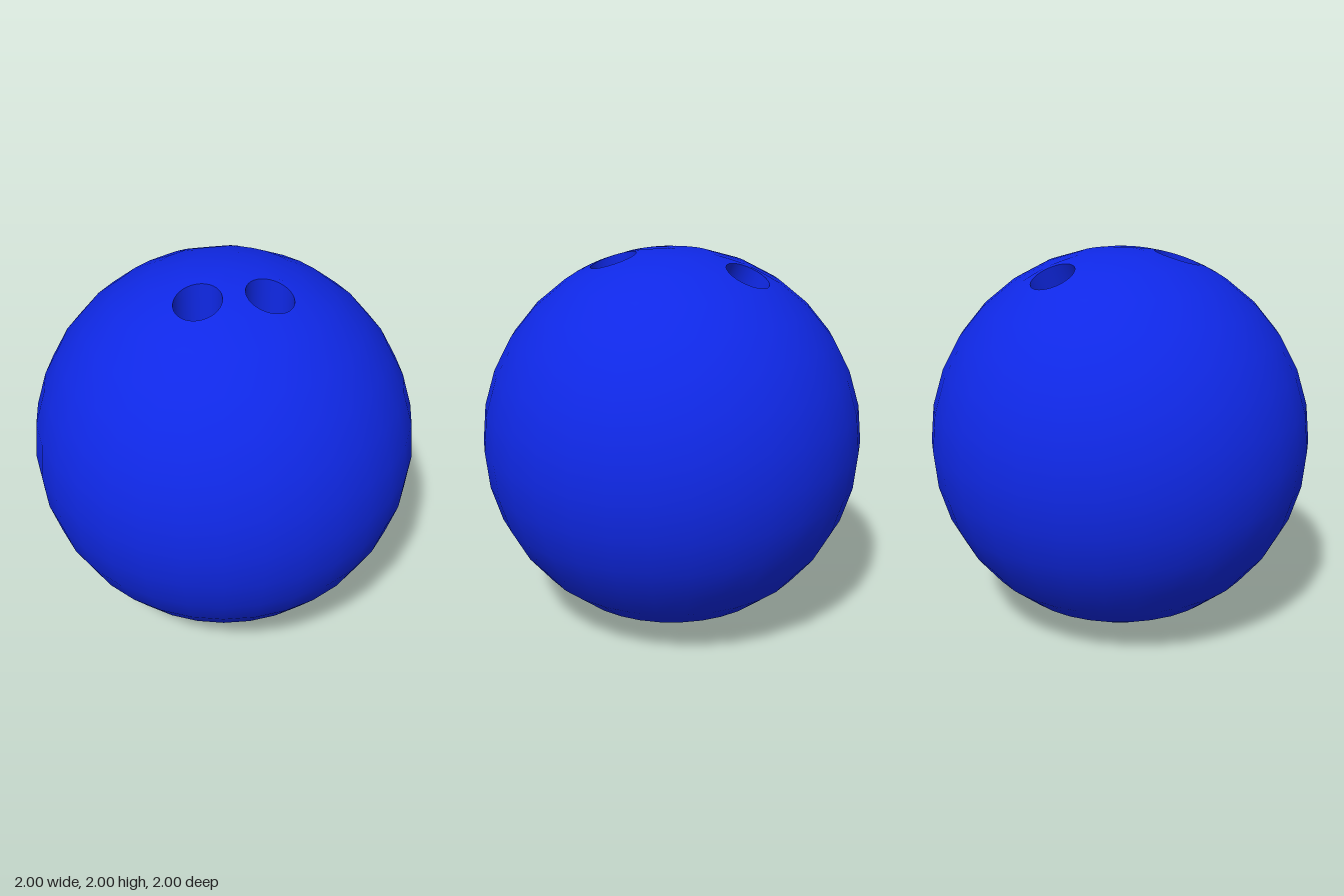
import * as THREE from 'three';

const COLS = 32, ROWS = 16, HOLE_R = 0.117;

// Each hole: foot point on the ball, drilling axis, floor distance along the axis,
// and the block of ball cells [row0, row1, col0, col1] that its collar replaces.
const thumbAxis = new THREE.Vector3(0, Math.sqrt(1 - 0.43 ** 2), -0.43);
const HOLES = [
  { name: 'rightFingerHole', foot: new THREE.Vector3(-0.172, 0, 0.238), axis: new THREE.Vector3(0, 1, 0), floor: 0.575, block: [0, 3, 9, 14] },
  { name: 'leftFingerHole', foot: new THREE.Vector3(0.174, 0, 0.243), axis: new THREE.Vector3(0, 1, 0), floor: 0.575, block: [0, 3, 2, 7] },
  { name: 'thumbHole', foot: new THREE.Vector3(0, 0, 0), axis: thumbAxis, floor: 0.617, block: [1, 3, 22, 26] },
];

// Grid point of the unit ball
function ballPoint(row, col) {
  const p = row * Math.PI / ROWS, a = col * 2 * Math.PI / COLS;
  return new THREE.Vector3(Math.sin(p) * Math.cos(a), Math.cos(p), Math.sin(p) * Math.sin(a));
}

// Geometry from quads (a, b, c, d); normalAt gives the smooth normal of a point
function quadGeometry(quads, normalAt) {
  const pos = [], nor = [];
  for (const [a, b, c, d] of quads) {
    for (const tri of [[a, b, c], [a, c, d]]) {
      const [p, q, r] = tri;
      if (p.distanceTo(q) < 1e-6 || q.distanceTo(r) < 1e-6 || r.distanceTo(p) < 1e-6) continue;
      for (const v of tri) {
        pos.push(v.x, v.y, v.z);
        nor.push(...normalAt(v).toArray());
      }
    }
  }
  const g = new THREE.BufferGeometry();
  g.setAttribute('position', new THREE.Float32BufferAttribute(pos, 3));
  g.setAttribute('normal', new THREE.Float32BufferAttribute(nor, 3));
  return g;
}

// Quads between successive closed rings, outer ring first
function loft(rings) {
  const quads = [];
  for (let k = 0; k + 1 < rings.length; k++) {
    const o = rings[k], n = rings[k + 1];
    o.forEach((p, i) => {
      const j = (i + 1) % o.length;
      quads.push([p, o[j], n[j], n[i]]);
    });
  }
  return quads;
}

// Outline of a cell block, each cell edge split into short steps
function blockOutline([r0, r1, c0, c1]) {
  const corners = [];
  if (r0 === 0) corners.push(ballPoint(0, 0));
  else for (let c = c0; c < c1; c++) corners.push(ballPoint(r0, c));
  for (let r = Math.max(r0, r0 === 0 ? 1 : r0); r < r1; r++) corners.push(ballPoint(r, c1));
  for (let c = c1; c > c0; c--) corners.push(ballPoint(r1, c));
  for (let r = r1; r > r0; r--) corners.push(ballPoint(r, c0));
  const steps = 6, ring = [];
  corners.forEach((p, i) => {
    const q = corners[(i + 1) % corners.length];
    for (let s = 0; s < steps; s++) ring.push(p.clone().lerp(q, s / steps));
  });
  return ring;
}

export function createModel() {
  const group = new THREE.Group();
  const material = new THREE.MeshStandardMaterial({ color: 0x0f28e6 });
  const add = (name, geometry) => {
    const mesh = new THREE.Mesh(geometry, material);
    mesh.name = name;
    mesh.position.y = 1;
    group.add(mesh);
  };
  const radial = (v) => v.clone().normalize();

  // Ball shell, leaving out the blocks around the holes
  const shell = [];
  for (let r = 0; r < ROWS; r++) {
    for (let c = 0; c < COLS; c++) {
      if (HOLES.some(({ block: [r0, r1, c0, c1] }) => r >= r0 && r < r1 && c >= c0 && c < c1)) continue;
      shell.push([ballPoint(r, c), ballPoint(r, c + 1), ballPoint(r + 1, c + 1), ballPoint(r + 1, c)]);
    }
  }
  add('ballShell', quadGeometry(shell, radial));

  for (const { name, foot, axis, floor, block } of HOLES) {
    const outline = blockOutline(block);
    const fromAxis = (v) => v.clone().addScaledVector(axis, -v.dot(axis)).sub(foot);
    const circle = outline.map((v) => fromAxis(v).setLength(HOLE_R).add(foot));
    const rim = circle.map((v) => v.clone().addScaledVector(axis, Math.sqrt(1 - v.lengthSq())));

    // Collar of ball surface from the block outline to the rim
    const between = [0.33, 0.67].map((t) => outline.map((v, i) => v.clone().lerp(rim[i], t).normalize()));
    add(name + 'Collar', quadGeometry(loft([outline, ...between, rim]), radial));

    // Bore wall and flat floor
    const bottom = circle.map((v) => v.clone().addScaledVector(axis, floor));
    add(name + 'Wall', quadGeometry(loft([rim, bottom]), (v) => fromAxis(v).normalize().negate()));
    const centre = foot.clone().addScaledVector(axis, floor);
    add(name + 'Floor', quadGeometry(loft([bottom, bottom.map(() => centre)]), () => axis));
  }
  return group;
}
